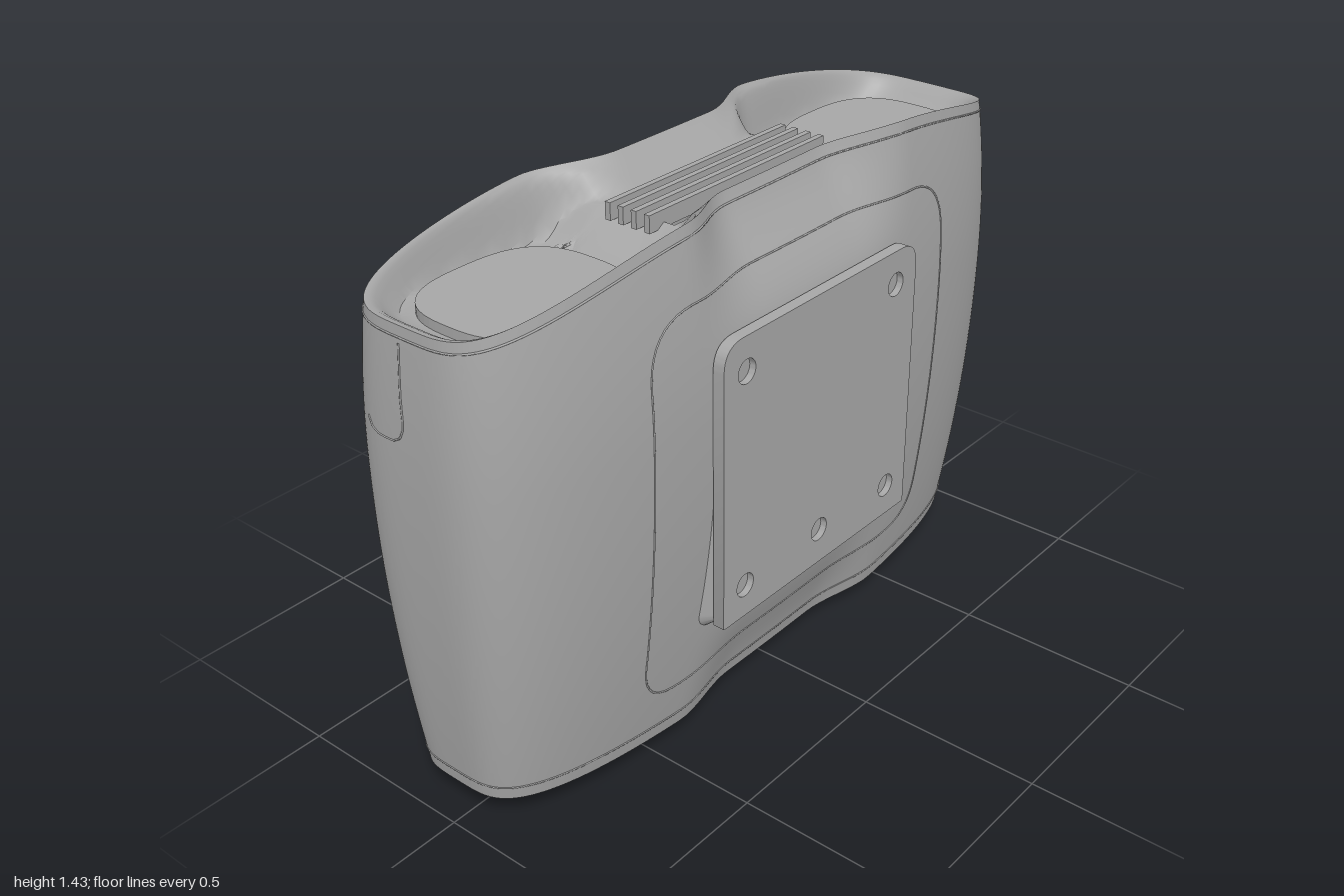
import * as THREE from 'three';
import { toCreasedNormals } from 'three/addons/utils/BufferGeometryUtils.js';

const { smoothstep, lerp, clamp } = THREE.MathUtils;
const step = (a, b, x) => smoothstep(x, a, b);

// Body proportions: half width and half depth at a height, backward sweep of the ends, rim heights
const halfW = (y) => 1 - (y < 0.9 ? 0.074 : 0.12) * (y - 0.9) ** 2;
const halfD = (y) => 0.305 - (y < 0.95 ? 0.105 : 0.217) * (y - 0.95) ** 2;
const sweep = 0.035;
const waist = (x) => 1 - step(0.17, 0.42, Math.abs(x));
const topY = (x, z) => {
  const f = step(-0.5, 0.5, z), peak = lerp(1.412, 1.43, f);
  return peak - (peak - 1.31) * Math.max(0, (Math.abs(x) - 0.38) / 0.6) ** 1.5 + lerp(0.01, -0.022, f) * waist(x);
};
const bottomY = (x, front) =>
  0.05 + 0.03 * Math.max(0, (Math.abs(x) - 0.4) / 0.56) - (front ? 0.005 : 0.015) * waist(x);

// Inward pinch near the middle of both rims
const pinch = (x, y, front) =>
  waist(x) * ((front ? 0.1 : 0.085) * step(1.1, 1.42, y) + 0.045 * (1 - step(0.05, 0.36, y)));

// Surface depth of the front or back face
const faceZ = (x, y, front) =>
  (front ? 1 : -1) * (halfD(y) * (1 - (x / halfW(y)) ** 4) ** 0.25 - pinch(x, y, front)) - sweep * x * x;

// Finned area on the back: height range, and half width narrowing toward the top
const finLow = 0.16, finHigh = 1.36;
const finHalf = (y) =>
  0.57 - 0.32 * Math.max(0, (y - 1.05) / 0.31) ** 1.4 - 0.1 * Math.max(0, (0.36 - y) / 0.2) ** 2;
const recess = (x, y) =>
  0.04 * step(0, 0.03, Math.min(finHalf(y) + 0.01 - Math.abs(x), finHigh - y, y - finLow));

// Squarish unit outline
const unit = (a) => {
  const c = Math.cos(a), s = Math.sin(a), r = (c ** 4 + s ** 4) ** -0.25;
  return [c * r, s * r];
};

// Point on the outer wall, v from bottom rim (0) to top rim (1)
function wall(a, v) {
  const [nx, nz] = unit(a), front = nz > 0;
  const y = lerp(bottomY(nx * 0.96, front), topY(nx * 0.98, nz), v);
  const x = nx * halfW(y);
  let z = nz * halfD(y) - Math.sign(nz) * pinch(x, y, front) - sweep * x * x;
  if (!front && nz < -0.5) z += recess(x, y);
  return [x, y, z];
}

// Point on the dished top or bottom deck, s from rim (0) to vent opening (1)
function deck(a, s, top) {
  const nz = unit(a)[1], [px, py, pz] = wall(a, top ? 1 : 0);
  const hx = top ? 0.28 : 0.4, hz = top ? 0.1 : 0.14;
  const x = lerp(px, clamp(px, -hx, hx), s), z = lerp(pz, nz * hz, s);
  const floor = top ? lerp(1.34, 1.255, step(0.28, 0.41, Math.abs(x))) : 0.09;
  const k = Math.max(s, step(0.005, 0.09, Math.hypot(x - px, z - pz)));
  return [x, lerp(py, floor, k), z];
}

// Closed loft: outer wall, top deck, inner duct, bottom deck
function bodyGeometry() {
  const segs = 240, wallRows = 60;
  const insets = [0.02, 0.04, 0.06, 0.09, 0.12, 0.16, 0.2, 0.25, 0.3, 0.4, 0.5, 0.6, 0.7, 0.8, 0.9, 1];
  const rows = [];
  for (let j = 0; j <= wallRows; j++) rows.push((a) => wall(a, j / wallRows));
  for (const s of insets) rows.push((a) => deck(a, s, true));
  for (const s of [...insets].reverse()) rows.push((a) => deck(a, s, false));
  const pos = [], index = [];
  rows.forEach((row, j) => {
    const next = (j + 1) % rows.length;
    for (let i = 0; i < segs; i++) {
      pos.push(...row((i / segs) * Math.PI * 2));
      const i2 = (i + 1) % segs;
      const a = j * segs + i, b = next * segs + i, c = j * segs + i2, d = next * segs + i2;
      index.push(a, b, c, b, d, c);
    }
  });
  const g = new THREE.BufferGeometry();
  g.setAttribute('position', new THREE.Float32BufferAttribute(pos, 3));
  g.setIndex(index);
  return toCreasedNormals(g, 0.6);
}

// One cooling fin: a thin box bent along the back surface, u from -1 to 1 across the area
function finGeometry(u) {
  const g = new THREE.BoxGeometry(0.028, 1, 1, 1, 32, 1), p = g.attributes.position;
  const height = 0.025 * (1 - 0.6 * u * u);
  for (let i = 0; i < p.count; i++) {
    const t = p.getY(i) + 0.5, y = lerp(finLow, finHigh, t);
    const x = (u + p.getX(i)) * finHalf(y);
    const rise = height * Math.sqrt(Math.max(0, Math.min(1, t * 6, (1 - t) * 6)));
    p.setXYZ(i, x, y, faceZ(x, y, false) + (p.getZ(i) < 0 ? -rise : 0.05));
  }
  return toCreasedNormals(g, 0.6);
}

// Rectangle with separate corner radii at top and bottom
function plateShape(w, y0, y1, rTop, rBottom) {
  const s = new THREE.Shape();
  s.moveTo(-w + rBottom, y0);
  s.lineTo(w - rBottom, y0);
  s.quadraticCurveTo(w, y0, w, y0 + rBottom);
  s.lineTo(w, y1 - rTop);
  s.quadraticCurveTo(w, y1, w - rTop, y1);
  s.lineTo(-w + rTop, y1);
  s.quadraticCurveTo(-w, y1, -w, y1 - rTop);
  s.lineTo(-w, y0 + rBottom);
  s.quadraticCurveTo(-w, y0, -w + rBottom, y0);
  return s;
}

export function createModel() {
  const group = new THREE.Group();
  const grey = new THREE.MeshStandardMaterial({ color: 0xa6a6a6 });
  grey.name = 'grey';
  const add = (name, geometry, x = 0, y = 0, z = 0) => {
    const m = new THREE.Mesh(geometry, grey);
    m.name = name;
    m.position.set(x, y, z);
    group.add(m);
  };
  const seam = (name, points, closed) => {
    const curve = new THREE.CatmullRomCurve3(points, closed);
    add(name, new THREE.TubeGeometry(curve, points.length * 2, 0.0025, 5, closed));
  };

  add('body', bodyGeometry());

  // Seams just inside both rims
  for (const [name, v] of [['topRimSeam', 0.978], ['bottomRimSeam', 0.03]]) {
    const pts = [];
    for (let i = 0; i < 120; i++) pts.push(new THREE.Vector3(...wall((i / 120) * Math.PI * 2, v)));
    seam(name, pts, true);
  }

  // Rounded panel seam around the front plate
  const outline = plateShape(0.57, 0.2, 1.25, 0.16, 0.12).getSpacedPoints(90).slice(0, -1);
  seam('frontPanelSeam', outline.map((p) => new THREE.Vector3(p.x, p.y, faceZ(p.x, p.y, true))), true);

  // Front mounting plate with five screw holes on a flared base
  const base = new THREE.ExtrudeGeometry(plateShape(0.36, 0.385, 1.115, 0.07, 0.01),
    { depth: 0.04, bevelSize: 0.04, bevelThickness: 0.05, bevelSegments: 1, curveSegments: 8 });
  add('plateBase', toCreasedNormals(base, 0.5), 0, 0, 0.222);
  const plate = plateShape(0.383, 0.37, 1.142, 0.07, 0.004);
  for (const [x, y] of [[-0.3, 1.05], [0.295, 1.05], [-0.3, 0.46], [0, 0.47], [0.295, 0.46]]) {
    plate.holes.push(new THREE.Path().absarc(x, y, 0.032, 0, Math.PI * 2, true));
  }
  const plateGeo = new THREE.ExtrudeGeometry(plate, { depth: 0.032, bevelEnabled: false, curveSegments: 16 });
  add('frontPlate', toCreasedNormals(plateGeo, 0.5), 0, 0, 0.298);

  // Cooling fins fanned across the back
  for (let i = -14; i <= 14; i++) add('coolingFin', finGeometry(i / 14.2));

  // Vent bars across the top opening
  for (let i = 0; i < 4; i++) {
    add('topVentBar', new THREE.BoxGeometry(0.66, 0.045, 0.016), 0, 1.348, -0.06 + i * 0.04);
  }

  // Bowed slats across the bottom opening
  const slat = new THREE.Shape();
  slat.moveTo(-0.5, 0.1);
  slat.lineTo(-0.5, 0.07);
  slat.quadraticCurveTo(0, -0.005, 0.5, 0.07);
  slat.lineTo(0.5, 0.1);
  const slatGeo = new THREE.ExtrudeGeometry(slat, { depth: 0.014, bevelEnabled: false });
  for (let i = 0; i < 8; i++) add('bottomSlat', slatGeo, 0, 0, -0.147 + i * 0.04);

  for (const side of [-1, 1]) {
    // Flat rounded insert in the top dish
    const pad = new THREE.Shape();
    for (let i = 0; i <= 64; i++) {
      const a = (i / 64) * Math.PI * 2, c = Math.cos(a), s = Math.sin(a);
      const r = (Math.abs(c) ** 2.8 + Math.abs(s) ** 2.8) ** (-1 / 2.8);
      pad[i ? 'lineTo' : 'moveTo'](0.225 * r * c, 0.195 * r * s);
    }
    const padGeo = new THREE.ExtrudeGeometry(pad, { depth: 0.035, bevelEnabled: false }).rotateX(-Math.PI / 2);
    add('topInsert', padGeo, side * 0.655, 1.245, -0.015);

    // Foot
    add('foot', new THREE.CylinderGeometry(0.082, 0.082, 0.11, 40), side * 0.65, 0.055, -0.01);

    // Side latch seam
    const latch = [[-0.05, 1.27], [-0.05, 1.15], [-0.05, 1.06], [-0.07, 1.035],
      [-0.11, 1.03], [-0.15, 1.035], [-0.168, 1.06]];
    seam('sideLatchSeam', latch.map(([z, y]) =>
      new THREE.Vector3(side * halfW(y) * (1 - ((z + sweep) / halfD(y)) ** 4) ** 0.25, y, z)), false);
  }
  return group;
}
